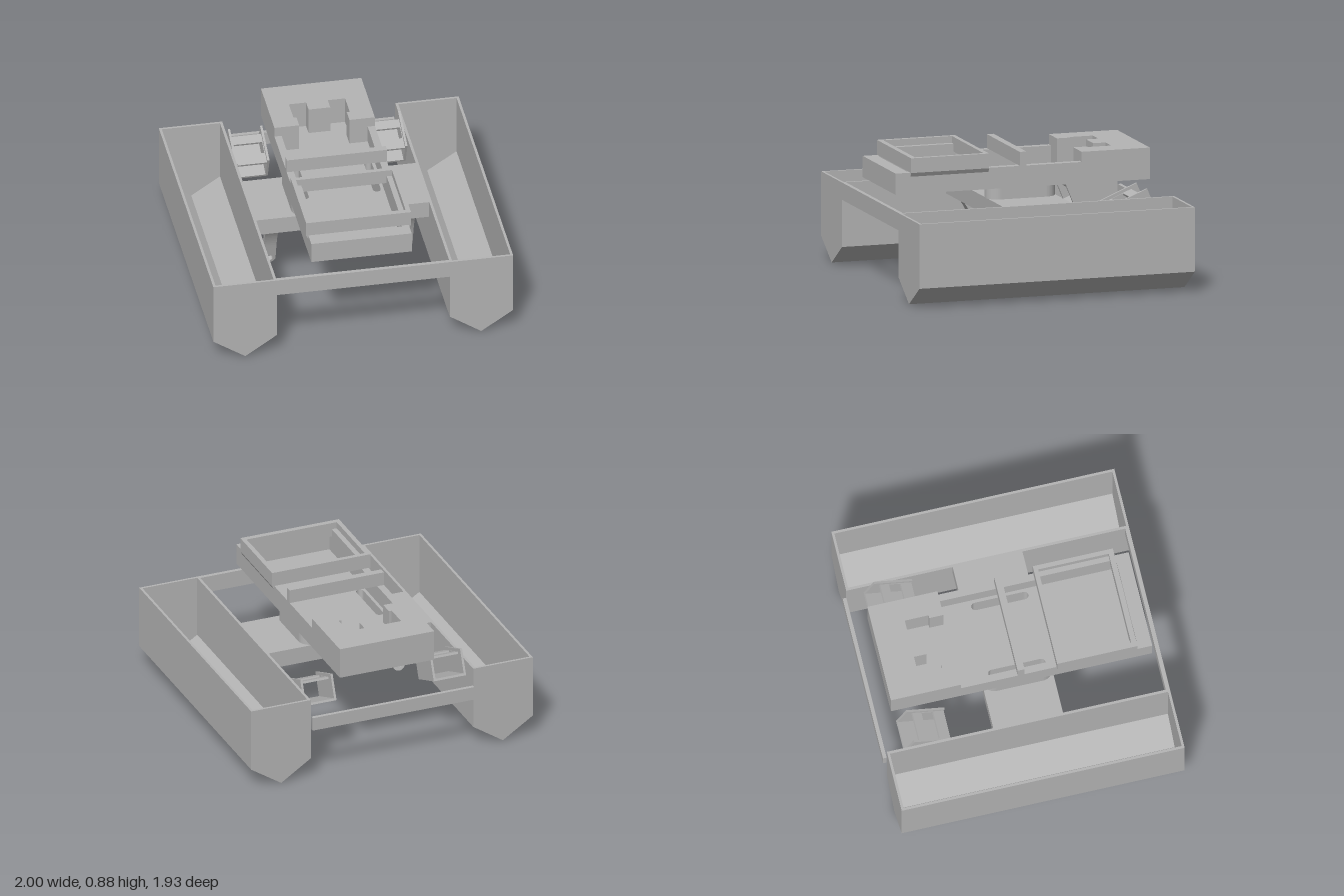
import * as THREE from 'three';

const grey = new THREE.MeshStandardMaterial({ color: 0xb4b4b4 });
grey.name = 'plain grey';

function add(parent, name, geo) {
  const m = new THREE.Mesh(geo, grey);
  m.name = name;
  parent.add(m);
  return m;
}

// Box given by its limits
function box(parent, name, x0, x1, y0, y1, z0, z1) {
  const g = new THREE.BoxGeometry(x1 - x0, y1 - y0, z1 - z0);
  g.translate((x0 + x1) / 2, (y0 + y1) / 2, (z0 + z1) / 2);
  return add(parent, name, g);
}

const poly = pts => new THREE.Shape(pts.map(p => new THREE.Vector2(p[0], p[1])));
const rect = (x0, x1, z0, z1) => poly([[x0, z0], [x1, z0], [x1, z1], [x0, z1]]);

// Long rounded outline centred at x, running from z0 to z1
function stadium(x, r, z0, z1) {
  const s = new THREE.Shape();
  s.absarc(x, z1 - r, r, 0, Math.PI, false);
  s.absarc(x, z0 + r, r, Math.PI, 2 * Math.PI, false);
  s.closePath();
  return s;
}

// Horizontal slab: outline drawn in x and z, raised from y0 to y1
function slab(parent, name, outline, holes, y0, y1) {
  outline.holes = holes;
  const g = new THREE.ExtrudeGeometry(outline, { depth: y1 - y0, bevelEnabled: false, curveSegments: 16 });
  g.rotateX(Math.PI / 2);
  g.translate(0, y1, 0);
  return add(parent, name, g);
}

// Outline drawn in x and y, extruded from z0 to z1
function prism(parent, name, shape, z0, z1) {
  const g = new THREE.ExtrudeGeometry(shape, { depth: z1 - z0, bevelEnabled: false, curveSegments: 16 });
  g.translate(0, 0, z0);
  return add(parent, name, g);
}

const slots = () => [-0.24, 0.24].map(x => stadium(x, 0.026, -0.178, 0.205));

// Open-topped hull with a V-shaped keel
function hull(s) {
  const g = new THREE.Group();
  g.name = s > 0 ? 'leftHull' : 'rightHull';
  const outer = [[0.577, 0.57], [0.577, 0.14], [0.787, 0], [1, 0.14], [1, 0.57]];
  const inner = [[0.983, 0.57], [0.983, 0.15], [0.787, 0.023], [0.595, 0.15], [0.595, 0.57]];
  const flip = pts => pts.map(([x, y]) => [s * x, y]);
  prism(g, 'hullShell', poly(flip([...outer, ...inner])), -0.925, 0.947);
  prism(g, 'hullBackWall', poly(flip(outer)), -0.942, -0.925);
  prism(g, 'hullFrontWall', poly(flip(outer)), 0.947, 0.964);
  return g;
}

// Tilted open motor housing
function housing(s) {
  const g = new THREE.Group();
  g.name = s > 0 ? 'leftHousing' : 'rightHousing';
  const L = 0.139, H = 0.0885, W = 0.115;
  for (const e of [-1, 1]) {
    const x = e * (W - 0.0075);
    box(g, 'housingSide', x - 0.0075, x + 0.0075, -H, H, -L, L);
  }
  box(g, 'housingFloor', -W + 0.015, W - 0.015, -H, -H + 0.015, -L, L);
  slab(g, 'housingLid', rect(-W + 0.015, W - 0.015, -L + 0.05, L),
    [rect(-W + 0.02, W - 0.02, -L + 0.115, -L + 0.2)], H - 0.035, H - 0.02);
  g.rotation.x = Math.PI / 8;
  g.position.set(s * 0.46, 0.495, -0.6625);
  return g;
}

// Curved strap ending in a rounded eye
function arm(s) {
  const g = new THREE.Group();
  g.name = s > 0 ? 'leftArm' : 'rightArm';
  const w = 0.0425, t = 0.0175;
  const eye = new THREE.Shape();
  eye.moveTo(w, 0.1);
  eye.lineTo(-w, 0.1);
  eye.absarc(0, 0, w, Math.PI, 2 * Math.PI, false);
  eye.closePath();
  const hole = new THREE.Path();
  hole.absarc(0, 0, 0.023, 0, 2 * Math.PI, true);
  eye.holes = [hole];
  const tip = prism(g, 'armEye', eye, -t, t);
  tip.rotation.x = 0.25;
  tip.position.set(0, 0.152, 0.055);

  const curve = new THREE.QuadraticBezierCurve(
    new THREE.Vector2(0.08, 0.245), new THREE.Vector2(0.11, 0.37), new THREE.Vector2(0.19, 0.46));
  const mid = curve.getPoints(12);
  const side = [...mid.map(p => [p.x + t, p.y]), ...mid.reverse().map(p => [p.x - t, p.y])];
  const strap = new THREE.ExtrudeGeometry(poly(side), { depth: 2 * w, bevelEnabled: false });
  strap.rotateY(-Math.PI / 2);
  strap.translate(w, 0, 0);
  add(g, 'armStrap', strap);
  g.position.x = s * 0.457;
  return g;
}

export function createModel() {
  const model = new THREE.Group();
  model.name = 'twinHullBoat';

  for (const s of [-1, 1]) model.add(hull(s), housing(s), arm(s));

  // Cross members between the hulls
  box(model, 'frontBar', -0.577, 0.577, 0.455, 0.57, 0.937, 0.964);
  box(model, 'backBar', -0.573, 0.573, 0.355, 0.447, -0.967, -0.942);
  slab(model, 'bridgePlate', rect(-0.577, 0.577, -0.225, 0.245), slots(), 0.455, 0.57);

  // Slotted posts carrying the deck body
  slots().forEach((slot, i) => {
    const x = i ? 0.245 : -0.245;
    slab(model, 'post', stadium(x, 0.085, -0.225, 0.253), [slot], 0.57, 0.645);
  });
  box(model, 'postWeb', -0.165, 0.165, 0.57, 0.645, -0.13, 0.15);

  // Deck body: floor, hollow walls and raised rear block
  const body = new THREE.Group();
  body.name = 'deckBody';
  model.add(body);
  const notch = [[-0.17, -0.385], [-0.17, -0.48], [-0.19, -0.48], [-0.19, -0.64], [-0.075, -0.64],
    [-0.075, -0.555], [0.07, -0.555], [0.07, -0.64], [0.185, -0.64], [0.185, -0.48],
    [0.165, -0.48], [0.165, -0.385]];
  slab(body, 'bodyFloor', rect(-0.335, 0.335, -0.857, 0.903), slots(), 0.645, 0.67);
  slab(body, 'bodyWalls', rect(-0.335, 0.335, -0.857, 0.903),
    [poly([[-0.287, 0.81], [-0.287, -0.385], ...notch, [0.287, -0.385], [0.287, 0.81]])], 0.67, 0.787);
  slab(body, 'rearBlock', poly([[-0.335, -0.857], [-0.335, -0.385], ...notch,
    [0.335, -0.385], [0.335, -0.857]]), [], 0.787, 0.855);
  box(body, 'crossRail', -0.335, 0.335, 0.787, 0.88, -0.003, 0.043);

  // Stepped tray frame with a small flare under its sides
  slab(body, 'trayLedge', rect(-0.35, 0.35, 0.26, 0.8), [rect(-0.285, 0.285, 0.29, 0.765)], 0.787, 0.84);
  slab(body, 'trayRim', rect(-0.35, 0.35, 0.26, 0.8), [rect(-0.32, 0.32, 0.29, 0.765)], 0.84, 0.885);
  for (const s of [-1, 1]) {
    prism(body, 'trayFlare', poly([[s * 0.335, 0.76], [s * 0.35, 0.787], [s * 0.335, 0.787]]), 0.26, 0.8);
  }
  return model;
}
